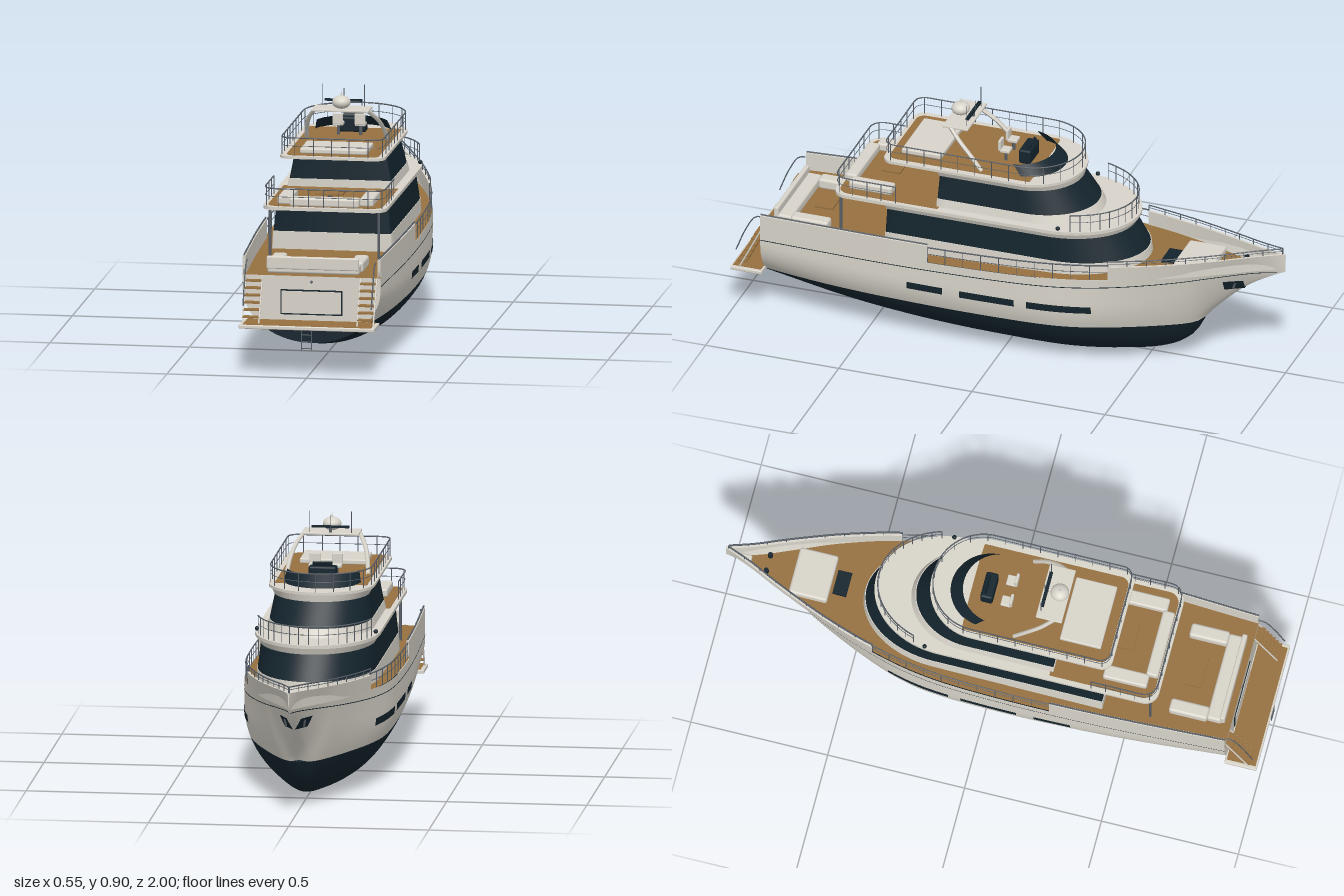
import * as THREE from 'three';
import { toCreasedNormals } from 'three/addons/utils/BufferGeometryUtils.js';
import { RoundedBoxGeometry } from 'three/addons/geometries/RoundedBoxGeometry.js';

const mat = (color) => new THREE.MeshStandardMaterial({ color, side: THREE.DoubleSide });
const white = mat(0xd8d4ca), navy = mat(0x14242d), wood = mat(0x96703f), steel = mat(0x596068);
const V = (x, y, z) => new THREE.Vector3(x, y, z);
const lerp = THREE.MathUtils.lerp;

// smooth curve through values given along z
const along = (zs, values) => {
  const c = new THREE.CubicInterpolant(zs, values, 1);
  return (z) => c.evaluate(z)[0];
};
const keelY = along([-1, -0.95, -0.86, -0.78, -0.7, -0.67, -0.62, -0.55, -0.4, -0.2, 0, 0.2, 0.4, 0.6, 0.885],
  [0.41, 0.385, 0.33, 0.26, 0.17, 0.115, 0.068, 0.035, 0.01, 0, 0.003, 0.01, 0.025, 0.05, 0.105]);
const sheerY = along([-1, -0.7, -0.4, 0, 0.4, 0.885], [0.48, 0.452, 0.432, 0.425, 0.42, 0.412]);
const deckY = along([-1, -0.41, 0.25, 0.885], [0.42, 0.378, 0.355, 0.345]);
const beam = along([-1, -0.9, -0.8, -0.6, -0.4, -0.2, 0, 0.4, 0.885],
  [0.003, 0.04, 0.085, 0.165, 0.225, 0.259, 0.27, 0.268, 0.247]);
const strakeY = along([-1, -0.4, 0.2, 0.885], [0.405, 0.347, 0.325, 0.315]);
const waterY = 0.17, sternZ = 0.885;

// half width of the hull: round amidships, flared at the bow
function hullX(z, y) {
  const u = THREE.MathUtils.clamp((y - keelY(z)) / (sheerY(z) - keelY(z)), 0, 1);
  const round = Math.sqrt(1 - (1 - Math.min(1, u / 0.63)) ** 2);
  const flare = 1 - THREE.MathUtils.smoothstep(z, -0.95, -0.2);
  return beam(z) * lerp(round, u ** 0.8, flare);
}

// surface through rows of points
function skin(rows, crease = 0.7) {
  const n = rows[0].length, index = [];
  for (let i = 0; i < rows.length - 1; i++) for (let j = 0; j < n - 1; j++) {
    const a = i * n + j, d = a + n;
    index.push(a, d, a + 1, a + 1, d, d + 1);
  }
  const g = new THREE.BufferGeometry().setFromPoints(rows.flat());
  g.setIndex(index);
  return toCreasedNormals(g, crease);
}
const steps = (a, b, n) => Array.from({ length: n + 1 }, (_, i) => lerp(a, b, i / n));
const middle = (row) => {
  const c = new THREE.Box3().setFromPoints(row).getCenter(V(0, 0, 0));
  return row.map(() => c);
};
const capped = (rows) => skin([middle(rows[0]), ...rows, middle(rows.at(-1))]);

// half plan outline, bow to aft centre: elliptical front, straight side, rounded aft corner
function half(hw, front, shoulder, aft, r = 0.004) {
  const p = steps(0, Math.PI / 2, 18).map((a) => [hw * Math.sin(a), shoulder - (shoulder - front) * Math.cos(a)]);
  steps(shoulder, aft - r, 12).slice(1).forEach((z) => p.push([hw, z]));
  steps(0, Math.PI / 2, 6).slice(1).forEach((b) => p.push([hw - r + r * Math.cos(b), aft - r + r * Math.sin(b)]));
  return [...p, [0, aft]];
}
const flip = (p) => p.map(([x, z]) => [-x, z]).reverse();
const ring = (plan, y) => [...half(...plan), ...flip(half(...plan)).slice(1)].map(([x, z]) => V(x, y, z));

export function createModel() {
  const root = new THREE.Group();
  const add = (name, geo, m, x = 0, y = 0, z = 0) => {
    const o = new THREE.Mesh(geo, m);
    o.name = name;
    o.position.set(x, y, z);
    root.add(o);
    return o;
  };
  const box = (name, m, x, y, z, w, h, d) => add(name, new THREE.BoxGeometry(w, h, d), m, x, y, z);
  const cushion = (name, x, y, z, w, h, d) =>
    add(name, new RoundedBoxGeometry(w, h, d, 2, Math.min(w, h, d) * 0.25), white, x, y, z);
  const bar = (name, a, b, r, m = steel) => add(name, new THREE.TubeGeometry(new THREE.LineCurve3(a, b), 1, r, 8), m);
  const tube = (name, pts, r, m = steel) =>
    add(name, new THREE.TubeGeometry(new THREE.CatmullRomCurve3(pts), pts.length * 3, r, 6), m);
  const tier = (name, m, y0, plan0, y1, plan1 = plan0) => add(name, capped([ring(plan0, y0), ring(plan1, y1)]), m);
  const rail = (name, pts, h, posts) => {
    const curve = new THREE.CatmullRomCurve3(pts);
    for (const k of [1, 0.55]) tube(name, pts.map((p) => V(p.x, p.y + h * k, p.z)), k === 1 ? 0.0025 : 0.0012);
    for (let i = 0; i <= posts; i++) {
      const p = curve.getPointAt(i / posts);
      bar(name + 'Post', p, V(p.x, p.y + h, p.z), 0.0016);
    }
  };

  // hull bottom
  add('hullBottom', skin(steps(sternZ, -0.7, 70).map((z) => steps(-1, 1, 28).map((v) => {
    const y = lerp(Math.min(keelY(z), waterY), waterY, v * v);
    return V(Math.sign(v) * hullX(z, y), y, z);
  }))), navy);

  // strip following one side of the hull
  const strip = (name, s, z0, z1, n, lo, hi, m, off = 0, rows = 1) =>
    add(name, skin(steps(z0, z1, n).map((z) => {
      const row = steps(lo(z), hi(z), rows).map((y) => V(s * (hullX(z, y) + off), y, z));
      return s > 0 ? row : row.reverse();
    })), m);
  for (const s of [1, -1]) {
    strip('hullSide', s, sternZ, -1, 90, (z) => Math.max(keelY(z), waterY), deckY, white, 0, 12);
    strip('rubStrake', s, sternZ, -0.97, 60, (z) => strakeY(z) - 0.0015, (z) => strakeY(z) + 0.0015, navy, 0.0015);
    for (const [a, b] of [[0.327, 0.193], [0.129, -0.075], [-0.12, -0.35]])
      strip('hullWindow', s, a, b, 10, () => 0.236, () => 0.263, navy, 0.002, 3);
    strip('anchorPocket', s, -0.785, -0.85, 6, () => 0.318, () => 0.358, navy, 0.003, 3);
    bar('anchor', V(s * (hullX(-0.815, 0.33) + 0.006), 0.325, -0.815), V(s * (hullX(-0.825, 0.35) + 0.006), 0.35, -0.825), 0.004);
    // bulwarks fore and aft of the boarding gap
    for (const [a, b, n] of [[sternZ, 0.25, 24], [-0.41, -1, 36]])
      add('bulwark', capped(steps(a, b, n).map((z) => {
        const xo = hullX(z, sheerY(z)), xi = Math.max(0, xo - 0.01);
        const row = [[hullX(z, deckY(z)), deckY(z)], [xo, sheerY(z)], [xi, sheerY(z)], [xi, deckY(z) - 0.004]]
          .map(([x, y]) => V(s * x, y, z));
        return s > 0 ? row : row.reverse();
      })), white);
    rail('sideRail', steps(0.25, -0.41, 12).map((z) => V(s * (hullX(z, 0.4) - 0.005), deckY(z), z)), 0.058, 10);
    rail('bowRail', steps(-0.41, -0.99, 14).map((z) => V(s * Math.max(0.002, hullX(z, sheerY(z)) - 0.005), sheerY(z), z)), 0.022, 9);
    tube('capRail', steps(sternZ, 0.25, 10).map((z) => V(s * (hullX(z, 0.41) - 0.005), sheerY(z) + 0.004, z)), 0.003);
  }
  add('mainDeck', skin(steps(sternZ, -0.995, 60).map((z) => {
    const x = Math.max(0, hullX(z, deckY(z)) - 0.003);
    return [V(x, deckY(z), z), V(-x, deckY(z), z)];
  })), wood);

  // transom, garage door, bathing platform
  const transom = (name, y0, y1, m) => add(name, skin(steps(y0, y1, 16).map((y) =>
    [V(hullX(sternZ, y), y, sternZ), V(-hullX(sternZ, y), y, sternZ)])), m);
  transom('transomBottom', 0.105, waterY, navy);
  transom('transom', waterY, 0.345, white);
  box('garageFrame', navy, 0, 0.251, sternZ, 0.222, 0.09, 0.006);
  box('garageDoor', white, 0, 0.251, sternZ + 0.001, 0.212, 0.08, 0.008);
  add('sternLight', new THREE.SphereGeometry(0.005, 12, 8), steel, 0, 0.325, sternZ);
  cushion('bathingPlatform', 0, 0.178, 0.941, 0.486, 0.014, 0.118);
  box('platformDeck', wood, 0, 0.1855, 0.941, 0.46, 0.002, 0.105);
  for (const s of [1, -1]) {
    for (let i = 0; i < 6; i++) box('stairTread', wood, s * 0.205, 0.207 + i * 0.024, 0.958 - i * 0.012, 0.055, 0.005, 0.03);
    for (const x of [0.176, 0.234]) bar('stairStringer', V(s * x, 0.185, 0.968), V(s * x, 0.345, 0.888), 0.003, white);
    tube('stairRail', [V(s * 0.23, 0.4, 0.886), V(s * 0.23, 0.395, 0.91), V(s * 0.23, 0.34, 0.945), V(s * 0.23, 0.25, 0.982)], 0.0025);
    bar('ladderRail', V(s * 0.018, 0.1, 0.998), V(s * 0.018, 0.18, 0.998), 0.0018);
    bar('deckPost', V(s * 0.195, 0.345, 0.6), V(s * 0.195, 0.532, 0.6), 0.005);
  }
  for (const y of [0.107, 0.13, 0.155]) bar('ladderRung', V(-0.018, y, 0.998), V(0.018, y, 0.998), 0.0018);

  // main cabin and upper deck
  tier('mainCabinBase', white, 0.34, [0.216, -0.5, -0.2, 0.43], 0.415, [0.212, -0.488, -0.19, 0.43]);
  tier('mainCabinWindows', navy, 0.415, [0.21, -0.485, -0.19, 0.428], 0.505, [0.201, -0.43, -0.17, 0.425]);
  tier('mainCabinBrow', white, 0.505, [0.204, -0.437, -0.17, 0.428], 0.53, [0.216, -0.447, -0.17, 0.43]);
  const upperPlan = [0.222, -0.452, -0.17, 0.627, 0.05];
  tier('upperDeck', white, 0.528, upperPlan, 0.54);
  tier('upperDeckPlanks', wood, 0.54, [0.205, 0.23, 0.235, 0.61, 0.04], 0.5415);
  const upperRail = half(0.215, -0.44, -0.17, 0.62, 0.045), at = (y) => ([x, z]) => V(x, y, z);
  const aftSide = upperRail.filter((p) => p[1] > 0.33), foreSide = upperRail.filter((p) => p[1] < -0.25);
  rail('upperAftRail', [...aftSide, ...flip(aftSide).slice(1)].map(at(0.54)), 0.065, 16);
  rail('upperForeRail', [...flip(foreSide), ...foreSide.slice(1)].map(at(0.54)), 0.065, 16);

  // wheelhouse and flybridge
  tier('wheelhouseBase', white, 0.54, [0.19, -0.318, -0.09, 0.245], 0.57, [0.184, -0.303, -0.08, 0.245]);
  tier('wheelhouseWindows', navy, 0.57, [0.182, -0.3, -0.08, 0.243], 0.655, [0.166, -0.235, -0.06, 0.24]);
  tier('wheelhouseBrow', white, 0.655, [0.169, -0.24, -0.06, 0.243], 0.682, [0.183, -0.245, -0.06, 0.245]);
  tier('flybridgeDeck', white, 0.68, [0.189, -0.248, -0.06, 0.452, 0.04], 0.69);
  tier('flybridgePlanks', wood, 0.69, [0.165, -0.1, -0.095, 0.435, 0.03], 0.6915);
  rail('flybridgeRail', ring([0.182, -0.238, -0.06, 0.444, 0.035], 0.69), 0.065, 30);
  const screen = (plan, y) => {
    const p = half(...plan).slice(0, 17);
    return [...flip(p), ...p.slice(1)].map(at(y));
  };
  add('windscreen', skin([screen([0.14, -0.175, -0.03, 0.1], 0.69), screen([0.13, -0.13, 0, 0.1], 0.73)]), navy);
  add('helmConsole', new RoundedBoxGeometry(0.1, 0.055, 0.045, 2, 0.008), navy, 0, 0.718, -0.037);
  box('helmScreen', navy, 0, 0.75, -0.045, 0.07, 0.02, 0.01).rotation.x = -0.4;
  cushion('flybridgeSunpad', 0, 0.7, 0.325, 0.24, 0.018, 0.15);

  for (const s of [1, -1]) {
    bar('helmSeatPost', V(s * 0.04, 0.69, 0.035), V(s * 0.04, 0.73, 0.035), 0.006);
    cushion('helmSeat', s * 0.04, 0.732, 0.035, 0.038, 0.012, 0.036);
    cushion('helmSeatBack', s * 0.04, 0.752, 0.054, 0.038, 0.04, 0.01);
    // radar arch legs
    const leg = tube('radarArchLeg', [V(s * 0.145, 0.69, 0.09), V(s * 0.138, 0.735, 0.13), V(s * 0.122, 0.78, 0.18), V(s * 0.095, 0.817, 0.225)], 0.008, white);
    leg.geometry.computeVertexNormals();
    bar('antenna', V(s * 0.075, 0.82, 0.17), V(s * 0.075, 0.9, 0.17), 0.0013);
    add('navigationLight', new THREE.SphereGeometry(0.008, 12, 8), navy, s * 0.212, 0.55, -0.22);
    // side seating on both aft decks
    cushion('cockpitSideSeat', s * 0.146, 0.365, 0.73, 0.05, 0.04, 0.14);
    cushion('upperSideSeat', s * 0.147, 0.555, 0.5, 0.05, 0.03, 0.16);
    add('bollard', new THREE.CylinderGeometry(0.009, 0.009, 0.02, 12), navy, s * 0.03, 0.421, -0.845);
  }
  cushion('radarArchTop', 0, 0.818, 0.205, 0.205, 0.008, 0.095);
  add('radarDome', new THREE.SphereGeometry(0.033, 24, 16), white, 0, 0.845, 0.22).scale.y = 0.72;
  add('domeTip', new THREE.ConeGeometry(0.005, 0.02, 10), white, 0, 0.876, 0.22);
  bar('radarPost', V(0, 0.82, 0.172), V(0, 0.843, 0.172), 0.006);
  box('radarScanner', navy, 0, 0.843, 0.172, 0.135, 0.007, 0.012);
  bar('mast', V(0, 0.84, 0.165), V(0, 0.885, 0.165), 0.0015);

  // aft seating and tables
  cushion('cockpitSofa', 0, 0.364, 0.825, 0.33, 0.036, 0.055);
  cushion('cockpitSofaBack', 0, 0.386, 0.855, 0.33, 0.045, 0.018);
  box('cockpitTable', wood, 0, 0.378, 0.715, 0.12, 0.006, 0.07);
  bar('cockpitTableLeg', V(0, 0.347, 0.715), V(0, 0.378, 0.715), 0.008);
  cushion('upperSofa', 0, 0.556, 0.588, 0.25, 0.032, 0.044);
  box('upperTable', wood, 0, 0.565, 0.465, 0.1, 0.006, 0.07);
  bar('upperTableLeg', V(0, 0.54, 0.465), V(0, 0.565, 0.465), 0.008);

  // foredeck
  cushion('foredeckSunpad', 0, 0.405, -0.68, 0.176, 0.035, 0.14);
  box('foredeckHatch', navy, 0, 0.392, -0.575, 0.09, 0.012, 0.05);
  cushion('windlass', 0, 0.425, -0.925, 0.02, 0.02, 0.04);
  return root;
}
